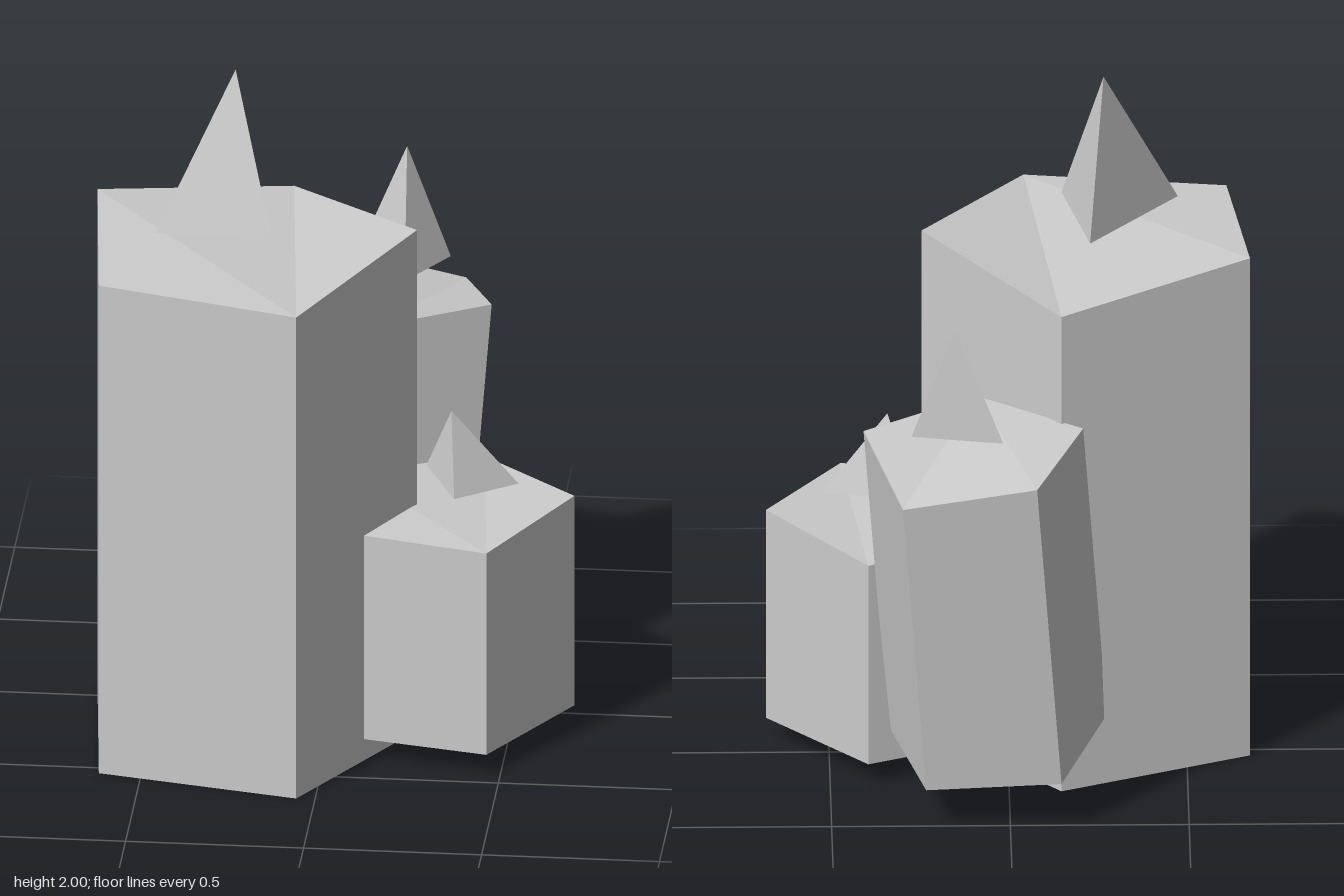
import * as THREE from 'three';

const material = new THREE.MeshStandardMaterial({ color: 0xcccccc, flatShading: true });

// relative height of each top corner, giving the uneven melted rim
const RIM = [1, 0.961, 0.974, 1, 0.954];

function facetedMesh(name, points, faces) {
  const indexed = new THREE.BufferGeometry();
  indexed.setAttribute('position', new THREE.Float32BufferAttribute(points.flat(), 3));
  indexed.setIndex(faces.flat());
  const geometry = indexed.toNonIndexed();
  geometry.computeVertexNormals();
  const mesh = new THREE.Mesh(geometry, material);
  mesh.name = name;
  return mesh;
}

// five-sided wax body standing on its own origin
function waxBody(name, radius, height, turn) {
  const n = RIM.length;
  const ring = (heightAt) => RIM.map((h, i) => {
    const a = turn + (i * 2 * Math.PI) / n;
    return [radius * Math.cos(a), heightAt(h), radius * Math.sin(a)];
  });
  const points = [...ring(() => 0), ...ring((h) => h * height)];
  const faces = [];
  for (let i = 0; i < n; i++) {
    const j = (i + 1) % n;
    faces.push([i, n + i, n + j], [i, n + j, j]);
  }
  // top and bottom caps fan out from the second corner
  for (let k = 1; k < n - 1; k++) {
    const a = (1 + k) % n, b = (2 + k) % n;
    faces.push([n + 1, n + b, n + a], [1, a, b]);
  }
  return facetedMesh(name, points, faces);
}

// four-faced flame; base corners run clockwise seen from above
function flame(name, tip, base) {
  return facetedMesh(name, [...base, tip], [[0, 3, 1], [1, 3, 2], [2, 3, 0], [0, 1, 2]]);
}

const CANDLES = [
  {
    name: 'tallCandle', radius: 0.493, height: 1.53, turn: -0.1,
    foot: [-0.251, 0, 0.209], axis: [0, 1, 0],
    tip: [-0.27, 2, 0.16],
    base: [[-0.48, 1.56, 0.315], [-0.23, 1.56, 0], [-0.155, 1.57, 0.325]],
  },
  {
    name: 'shortCandle', radius: 0.36, height: 0.64, turn: -0.1,
    foot: [0.317, 0.065, 0.126], axis: [0, 1, 0],
    tip: [0.335, 0.975, 0.145],
    base: [[0.255, 0.76, 0.04], [0.52, 0.745, 0.11], [0.355, 0.765, 0.28]],
  },
  {
    name: 'leaningCandle', radius: 0.323, height: 0.965, turn: 0.36,
    foot: [0.036, 0.169, -0.283], axis: [0.073, 1, -0.117],
    tip: [0.153, 1.51, -0.464],
    base: [[0.02, 1.18, -0.51], [0.276, 1.18, -0.46], [0.168, 1.2, -0.23]],
  },
];

export function createModel() {
  const model = new THREE.Group();
  model.name = 'candles';
  for (const c of CANDLES) {
    const candle = new THREE.Group();
    candle.name = c.name;
    const body = waxBody('wax', c.radius, c.height, c.turn);
    body.position.set(...c.foot);
    body.quaternion.setFromUnitVectors(
      new THREE.Vector3(0, 1, 0), new THREE.Vector3(...c.axis).normalize());
    candle.add(body, flame('flame', c.tip, c.base));
    model.add(candle);
  }
  return model;
}
